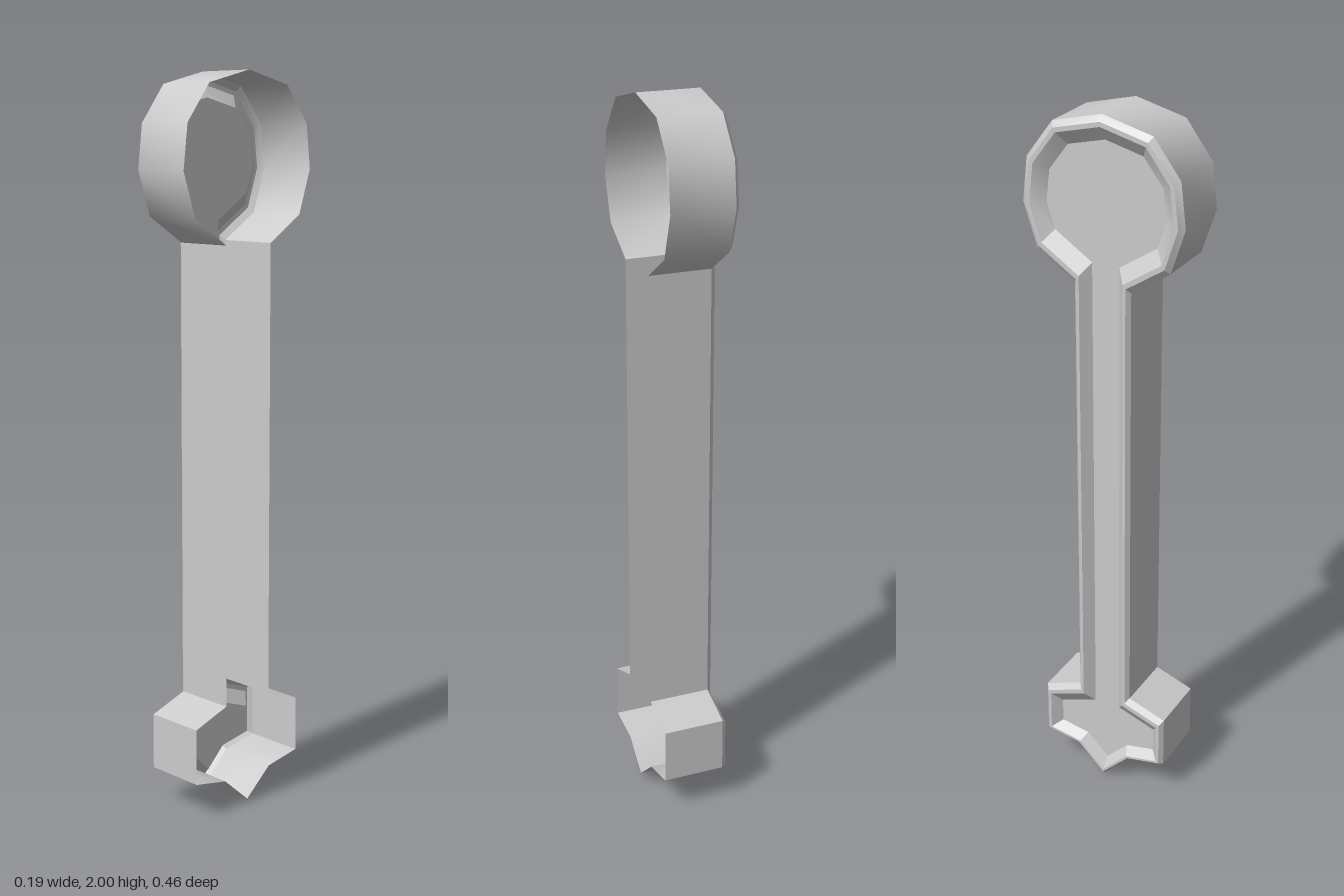
import * as THREE from 'three';
import { toCreasedNormals } from 'three/addons/utils/BufferGeometryUtils.js';

// Half outline from the top down the +z side: [z, y, inset weight of the edge that follows]
const HALF = [
  [0, 2.0, 1.55], [0.14, 1.965, 1.5], [0.215, 1.865, 1.4], [0.229, 1.745, 1.4], [0.19, 1.625, 1.65],
  [0.081, 1.553, 1],                                        // shaft
  [0.081, 0.3, 1.6], [0.192, 0.26, 1], [0.192, 0.105, 0.8], // foot
  [0.085, 0.085, 0.85], [0, 0, 0.85],
];

// Full closed outline: mirror the half across z = 0
function fullOutline() {
  const pts = HALF.map(([z, y, w]) => ({ z, y, w }));
  for (let i = HALF.length - 2; i > 0; i--) {
    pts.push({ z: -HALF[i][0], y: HALF[i][1], w: HALF[i - 1][2] });
  }
  pts[HALF.length - 1].w = HALF[HALF.length - 2][2];
  return pts;
}

// Move every edge inward by d * weight and intersect neighbouring edges
function inset(pts, d) {
  const n = pts.length;
  const edges = pts.map((p, i) => {
    const q = pts[(i + 1) % n];
    const len = Math.hypot(q.z - p.z, q.y - p.y);
    const nz = (q.y - p.y) / len, ny = -(q.z - p.z) / len;
    return { nz, ny, c: nz * p.z + ny * p.y + d * p.w };
  });
  return pts.map((p, i) => {
    const a = edges[(i + n - 1) % n], b = edges[i];
    const det = a.nz * b.ny - a.ny * b.nz;
    return { z: (a.c * b.ny - b.c * a.ny) / det, y: (a.nz * b.c - b.nz * a.c) / det };
  });
}

// Strip of quads between two outlines at different depths
function band(ringA, xa, ringB, xb, crease) {
  const pos = [];
  const n = ringA.length;
  for (let i = 0; i < n; i++) {
    const j = (i + 1) % n;
    const a = [xa, ringA[i].y, ringA[i].z], b = [xa, ringA[j].y, ringA[j].z];
    const c = [xb, ringB[i].y, ringB[i].z], d = [xb, ringB[j].y, ringB[j].z];
    pos.push(...a, ...c, ...b, ...b, ...c, ...d);
  }
  const geo = new THREE.BufferGeometry();
  geo.setAttribute('position', new THREE.Float32BufferAttribute(pos, 3));
  geo.computeVertexNormals();
  return toCreasedNormals(geo, crease);
}

export function createModel() {
  const group = new THREE.Group();
  group.name = 'hollowHandle';
  const material = new THREE.MeshStandardMaterial({ color: 0xcccccc, side: THREE.DoubleSide });
  const add = (name, geo) => {
    const mesh = new THREE.Mesh(geo, material);
    mesh.name = name;
    group.add(mesh);
  };

  const outer = fullOutline();
  // the open end of the wall ends slightly higher at the foot's tip
  const open = outer.map((p) => (p.y === 0 ? { z: 0, y: 0.01 } : p));
  const bevel = inset(outer, 0.01);
  const rim = inset(outer, 0.018);
  const floor = inset(outer, 0.042);
  const xOpen = 0.094, xWall = -0.081, xRim = -0.094, xFloor = -0.066;

  add('outerWall', band(open, xOpen, outer, xWall, 0.75));
  add('bevelEdge', band(outer, xWall, bevel, xRim, 0.4));
  add('flatRim', band(bevel, xRim, rim, xRim, 0.4));
  add('recessWall', band(rim, xRim, floor, xFloor, 0.4));

  // Recess floor, facing -x
  const shape = new THREE.Shape(floor.map((p) => new THREE.Vector2(p.z, p.y)));
  const floorGeo = new THREE.ShapeGeometry(shape);
  floorGeo.rotateY(-Math.PI / 2);
  floorGeo.translate(xFloor, 0, 0);
  add('recessFloor', floorGeo);

  return group;
}
